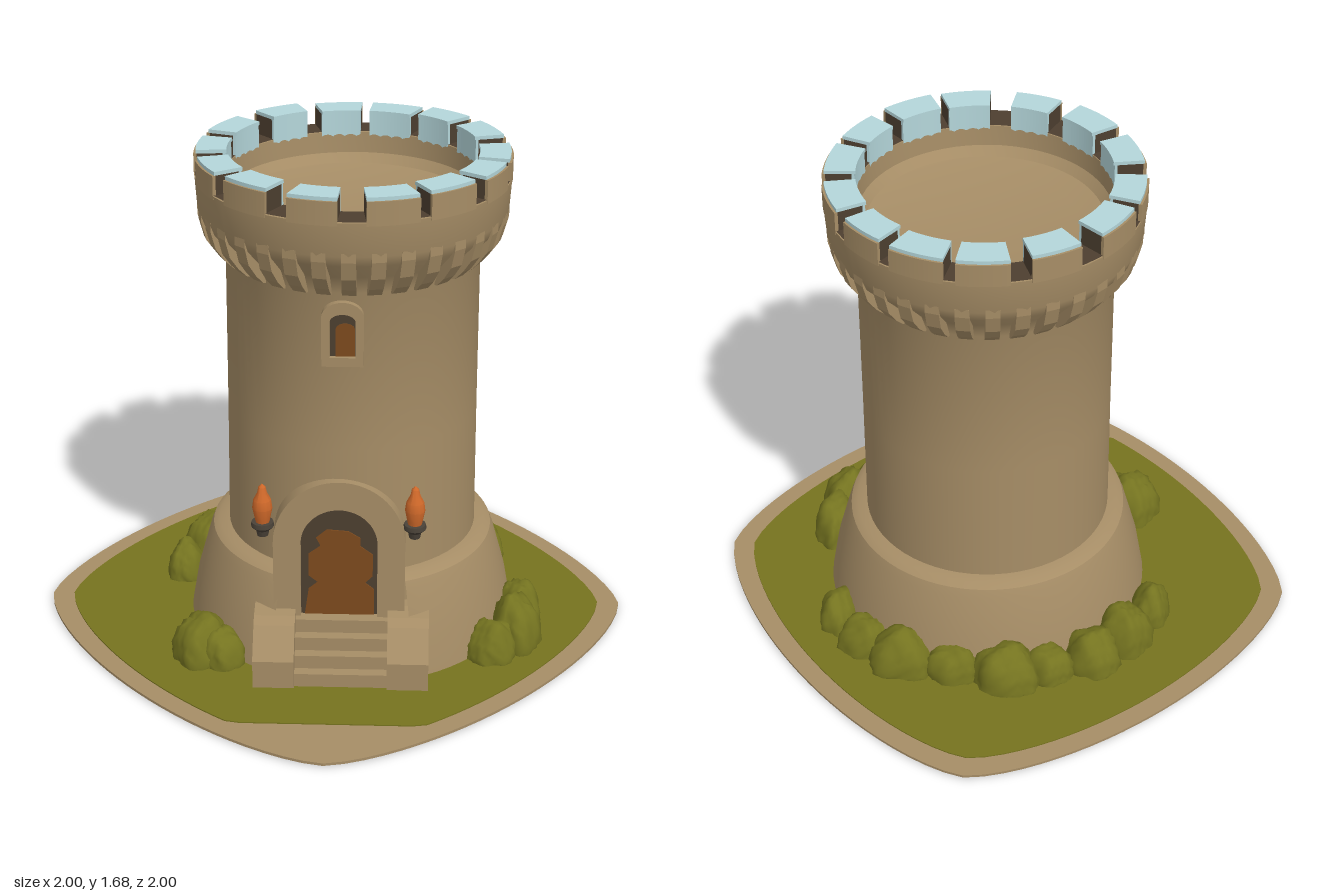
import * as THREE from 'three';
import { mergeVertices, toCreasedNormals } from 'three/addons/utils/BufferGeometryUtils.js';

const CX = 0.06; // tower axis

const mat = (name, color, side = THREE.FrontSide) => {
  const m = new THREE.MeshStandardMaterial({ color, side });
  m.name = name;
  return m;
};

export function createModel() {
  const stone = mat('sandstone', 0xa68d66, THREE.DoubleSide);
  const grass = mat('grass', 0x76731f);
  const leaf = mat('leaves', 0x757420);
  const wood = mat('wood', 0x7d4a1d);
  const earth = mat('earth', 0x673c22);
  const dark = mat('dark recess', 0x4d3f30);
  const ice = mat('pale blue caps', 0xb4d6da);
  const iron = mat('torch iron', 0x4a4238);
  const fire = mat('flame', 0xd0692a);

  const model = new THREE.Group();
  const tower = new THREE.Group();
  tower.name = 'tower';
  tower.position.x = CX;
  model.add(tower);
  const add = (name, geo, material, x = 0, y = 0, z = 0, parent = model) => {
    const m = new THREE.Mesh(geo, material);
    m.name = name;
    m.position.set(x, y, z);
    parent.add(m);
    return m;
  };
  const v2 = (p) => p.map(([x, y]) => new THREE.Vector2(x, y));
  const extrude = (shape, depth, curveSegments = 16) =>
    new THREE.ExtrudeGeometry(shape, { depth, bevelEnabled: false, curveSegments });
  const lathe = (pts, segs = 64, start = 0, len = Math.PI * 2) =>
    toCreasedNormals(new THREE.LatheGeometry(v2(pts), segs, start, len), 0.6);

  // Ground: rounded diamond slab, grass on both sides, earth disc beneath
  const ground = (scale, depth, zMin = -1, zMax = 1) => {
    const pts = [];
    for (let i = 0; i < 96; i++) {
      const t = (i / 96) * Math.PI * 2, c = Math.cos(t), s = Math.sin(t);
      const r = scale / Math.pow(Math.abs(c) ** 1.45 + Math.abs(s) ** 1.45, 1 / 1.45);
      pts.push([r * c, -Math.min(zMax, Math.max(zMin, r * s))]);
    }
    return extrude(new THREE.Shape(v2(pts)), depth).rotateX(-Math.PI / 2);
  };
  add('groundRim', ground(1, 0.009), stone, 0, 0.004, 0);
  add('grassTop', ground(0.925, 0.004, -0.93, 0.79), grass, 0, 0.013, 0);
  add('grassUnderside', ground(0.97, 0.003), grass, 0, 0.002, 0);
  add('earthDisc', new THREE.CylinderGeometry(0.59, 0.59, 0.003, 48), earth, 0, 0.0015, 0);

  // Flared base, left open behind the doorway
  add('base', lathe([[0.56, 0.01], [0.535, 0.15], [0.49, 0.31], [0.478, 0.34], [0.455, 0.355], [0.41, 0.36]],
    64, 0.4, Math.PI * 2 - 0.88), stone, 0, 0, 0, tower);

  // Shaft, crown and sunken roof floor in one profile
  add('shaft', lathe([
    [0.425, 0.02], [0.422, 0.4], [0.418, 0.8], [0.415, 1.34], [0.44, 1.40], [0.49, 1.455], [0.503, 1.49],
    [0.51, 1.6], [0.41, 1.6], [0.405, 1.53], [0.38, 1.5], [0.3, 1.485], [0, 1.48],
  ]), stone, 0, 0, 0, tower);

  // Corbels under the crown
  const corbel = extrude(new THREE.Shape(v2([
    [0.40, 1.33], [0.425, 1.335], [0.455, 1.365], [0.487, 1.41], [0.503, 1.47], [0.503, 1.5], [0.40, 1.5],
  ])), 0.045).translate(0, 0, -0.0225).rotateY(-Math.PI / 2);
  for (let i = 0; i < 34; i++) {
    add('corbel', corbel, stone, 0, 0, 0, tower).rotation.y = (i / 34) * Math.PI * 2;
  }

  // Battlements: ring sectors, angle measured from the front
  const sector = (r0, r1, a, half, y0, y1) => {
    const s = new THREE.Shape();
    const a0 = a - half - Math.PI / 2, a1 = a + half - Math.PI / 2;
    s.absarc(0, 0, r1, a0, a1, false);
    s.absarc(0, 0, r0, a1, a0, true);
    s.closePath();
    return extrude(s, y1 - y0, 6).rotateX(-Math.PI / 2).translate(0, y0, 0);
  };
  const angles = [0.27, 0.68, 1.12, 1.53, 2.01, 2.45, 2.86, 3.27, 3.72, 4.22, 4.65, 5.13, 5.59, 6.06];
  angles.forEach((a, i) => {
    const half = 0.165 + 0.01 * Math.sin(i * 2.3), top = 1.667 + 0.004 * Math.sin(i * 1.7);
    add('merlonCore', sector(0.418, 0.5, a, half, 1.59, top), dark, 0, 0, 0, tower);
    add('merlonFace', sector(0.5, 0.511, a, half, 1.59, top), stone, 0, 0, 0, tower);
    add('merlonLining', sector(0.409, 0.418, a, half, 1.575, top), ice, 0, 0, 0, tower);
    add('merlonCap', sector(0.405, 0.504, a, half, top, top + 0.012), ice, 0, 0, 0, tower);
  });
  const gapFloor = new THREE.RingGeometry(0.41, 0.508, 64).rotateX(-Math.PI / 2);
  add('battlementGapFloor', gapFloor, dark, 0, 1.603, 0, tower);

  // Arched openings: stone surround, dark recess, wooden panel
  const arch = (w, y0, spring, rise, Type = THREE.Shape) => {
    const s = new Type();
    s.moveTo(-w, y0);
    s.lineTo(w, y0);
    s.lineTo(w, spring);
    s.absellipse(0, spring, w, rise, 0, Math.PI, false, 0);
    s.closePath();
    return s;
  };
  const surround = arch(0.215, 0.05, 0.475, 0.225);
  surround.holes.push(arch(0.125, 0.19, 0.475, 0.125, THREE.Path));
  add('doorSurround', toCreasedNormals(extrude(surround, 0.15), 0.6), stone, 0.03, 0, 0.295);
  add('doorRecess', extrude(arch(0.126, 0.18, 0.475, 0.126), 0.006), dark, 0.03, 0, 0.42);
  const door = new THREE.Shape(v2([
    [-0.115, 0.19], [0.115, 0.19], [0.115, 0.3], [0.085, 0.325], [0.11, 0.35], [0.11, 0.43], [0.07, 0.46],
    [0.07, 0.49], [0.03, 0.515], [-0.04, 0.52], [-0.075, 0.49], [-0.06, 0.46], [-0.1, 0.43], [-0.1, 0.35],
    [-0.07, 0.325], [-0.1, 0.3],
  ]));
  add('door', extrude(door, 0.005), wood, 0.03, 0, 0.425);

  const windowFrame = arch(0.066, 1.1, 1.265, 0.05);
  windowFrame.holes.push(arch(0.04, 1.13, 1.25, 0.025, THREE.Path));
  add('windowSurround', toCreasedNormals(extrude(windowFrame, 0.05), 0.6), stone, 0.04, 0, 0.385);
  add('windowRecess', extrude(arch(0.041, 1.125, 1.25, 0.026), 0.006), dark, 0.04, 0, 0.413);
  add('windowShutter', extrude(arch(0.03, 1.13, 1.22, 0.02), 0.004), wood, 0.048, 0, 0.417);

  // Entrance steps between two sloped cheek blocks
  for (let i = 0; i < 4; i++) {
    const h = 0.2 - i * 0.047, front = 0.47 + i * 0.036;
    add('step', new THREE.BoxGeometry(0.32, h, front - 0.35), stone, 0.035, h / 2 + 0.005, (front + 0.35) / 2);
  }
  const cheek = extrude(new THREE.Shape(v2([
    [0.3, 0.005], [0.59, 0.005], [0.59, 0.115], [0.51, 0.205], [0.48, 0.225], [0.42, 0.235], [0.3, 0.235],
  ])), 0.135).translate(0, 0, -0.0675).rotateY(-Math.PI / 2);
  for (const x of [-0.18, 0.258]) add('stepCheek', cheek, stone, x);

  // Wall torches
  for (const x of [-0.22, 0.275]) {
    const torch = new THREE.Group();
    torch.name = 'torch';
    torch.position.set(x, 0, 0.405);
    model.add(torch);
    add('torchCup', lathe([[0, 0.48], [0.018, 0.485], [0.022, 0.505], [0.038, 0.52], [0.036, 0.535], [0, 0.535]], 12),
      iron, 0, 0, 0, torch);
    add('torchBracket', new THREE.BoxGeometry(0.02, 0.02, 0.13), iron, 0, 0.505, -0.06, torch);
    add('flame', lathe([[0, 0.515], [0.02, 0.52], [0.026, 0.55], [0.033, 0.585], [0.029, 0.615], [0.016, 0.64],
      [0.012, 0.66], [0, 0.672]], 12), fire, 0, 0, 0, torch);
  }

  // Bushes: lumpy, leafy domes around the base [x, z, radiusX, radiusZ, height]
  const bushes = [
    [-0.43, 0.38, 0.1, 0.12, 0.15], [-0.36, 0.42, 0.08, 0.08, 0.12],
    [0.64, 0.12, 0.08, 0.12, 0.15], [0.62, 0.25, 0.09, 0.12, 0.17], [0.54, 0.35, 0.09, 0.09, 0.13],
    [-0.54, -0.17, 0.07, 0.09, 0.13], [-0.46, -0.32, 0.1, 0.1, 0.16], [-0.36, -0.43, 0.1, 0.1, 0.14],
    [-0.22, -0.5, 0.09, 0.08, 0.11], [-0.08, -0.55, 0.12, 0.1, 0.15], [0.1, -0.54, 0.1, 0.08, 0.12],
    [0.28, -0.52, 0.12, 0.1, 0.15], [0.42, -0.45, 0.1, 0.09, 0.12], [0.54, -0.34, 0.07, 0.1, 0.12],
  ];
  bushes.forEach(([x, z, rx, rz, h], n) => {
    let geo = new THREE.IcosahedronGeometry(1, 6);
    geo.deleteAttribute('normal');
    geo.deleteAttribute('uv');
    geo = mergeVertices(geo, 1e-4);
    const p = geo.attributes.position;
    for (let i = 0; i < p.count; i++) {
      const a = p.getX(i), b = p.getY(i), c = p.getZ(i);
      const k = 0.97 + 0.08 * Math.sin(5 * a + n) * Math.cos(4 * c + 2 * n) + 0.06 * Math.sin(11 * b + 9 * a + n)
        * Math.sin(13 * c - n);
      p.setXYZ(i, a * k * rx, Math.max(b, -0.05) * k * h, c * k * rz);
    }
    geo.computeVertexNormals();
    add('bush', geo, leaf, x, 0.015, z);
  });

  return model;
}
